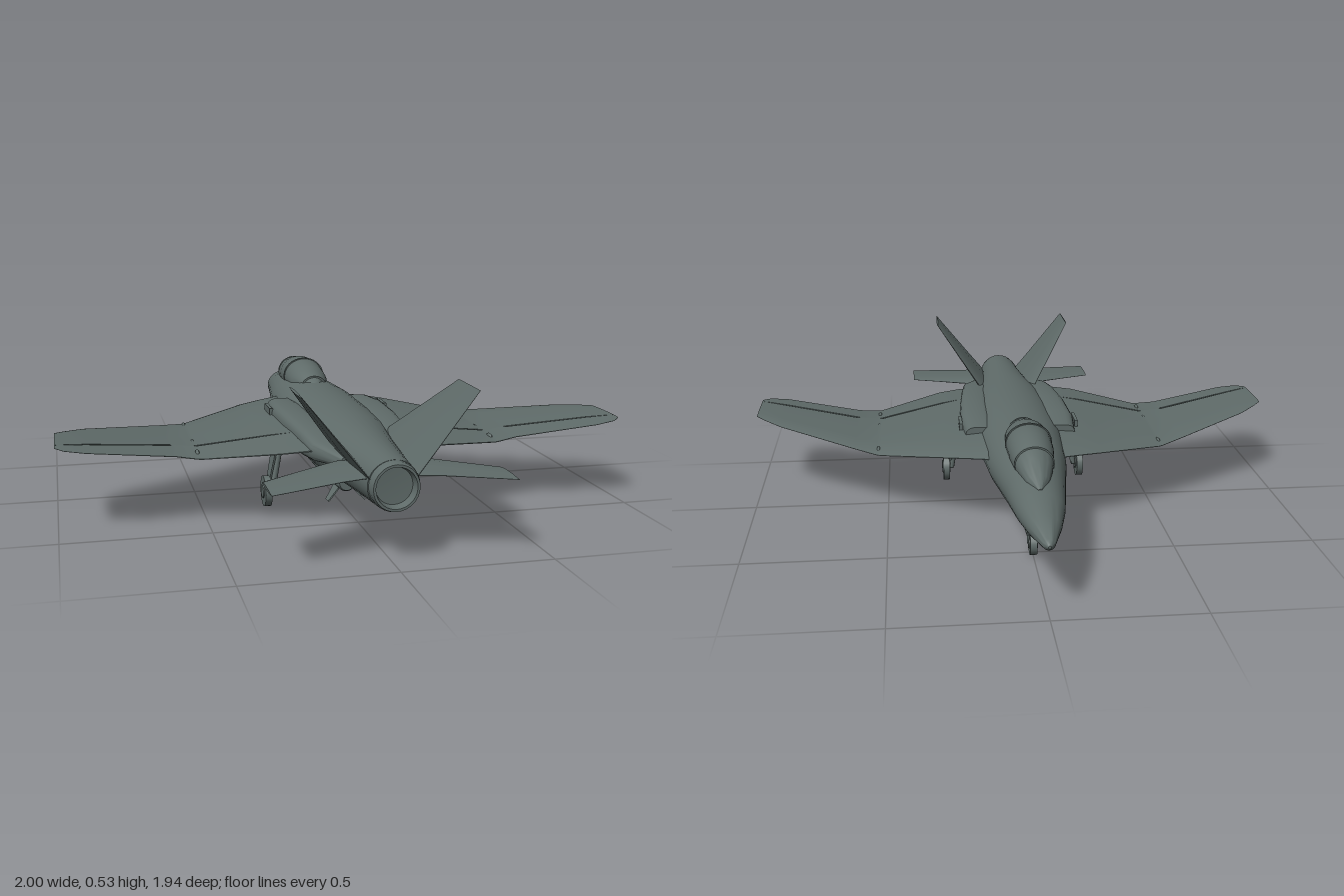
import * as THREE from 'three';
import { toCreasedNormals } from 'three/addons/utils/BufferGeometryUtils.js';

const grey = new THREE.MeshStandardMaterial({ color: 0x5f6b69 });
grey.name = 'slate grey';

function add(parent, name, geometry, x = 0, y = 0, z = 0) {
  const mesh = new THREE.Mesh(geometry, grey);
  mesh.name = name;
  mesh.position.set(x, y, z);
  parent.add(mesh);
  return mesh;
}

// Skin a list of closed rings and cap both ends
function loft(rings, crease = 0.6) {
  const n = rings[0].length, pos = rings.flat(2), index = [];
  for (let i = 0; i < rings.length - 1; i++) {
    for (let j = 0; j < n; j++) {
      const a = i * n + j, b = i * n + (j + 1) % n;
      index.push(a, b, a + n, b, b + n, a + n);
    }
  }
  [0, rings.length - 1].forEach((r, end) => {
    const c = pos.length / 3;
    for (let k = 0; k < 3; k++) pos.push(rings[r].reduce((s, p) => s + p[k], 0) / n);
    for (let j = 0; j < n; j++) {
      const a = r * n + j, b = r * n + (j + 1) % n;
      if (end) index.push(c, a, b); else index.push(c, b, a);
    }
  });
  const g = new THREE.BufferGeometry();
  g.setAttribute('position', new THREE.Float32BufferAttribute(pos, 3));
  g.setIndex(index);
  return toCreasedNormals(g, crease);
}

// Rounded cross-section; power below 1 makes it boxier
function oval(x, z, halfWidth, bottom, top, power = 1, n = 32) {
  const bend = v => Math.sign(v) * Math.abs(v) ** power;
  return Array.from({ length: n }, (_, i) => {
    const a = i / n * Math.PI * 2;
    return [x + halfWidth * bend(Math.cos(a)), (top + bottom) / 2 + (top - bottom) / 2 * bend(Math.sin(a)), z];
  });
}

// Thin lifting-surface section running from z0 to z1
const FULL = [0.05, 0.6, 1, 0.8, 0.08], FRONT = [0.05, 0.6, 0.9, 1, 0.85], REAR = [0.85, 0.8, 0.6, 0.4, 0.08];
function foil(x, y, z0, z1, t, profile = FULL, nx = 0, ny = 1) {
  const f = [0, 0.08, 0.3, 0.65, 1];
  const edge = s => f.map((v, i) => [x + s * nx * t * profile[i], y + s * ny * t * profile[i], z0 + (z1 - z0) * v]);
  return [...edge(1), ...edge(-1).reverse()];
}

// Round bar between two points
function bar(parent, name, from, to, r) {
  const a = new THREE.Vector3(...from), b = new THREE.Vector3(...to), d = b.clone().sub(a);
  const mesh = add(parent, name, new THREE.CylinderGeometry(r, r, d.length(), 12), ...a.clone().add(b).multiplyScalar(0.5));
  mesh.quaternion.setFromUnitVectors(new THREE.Vector3(0, 1, 0), d.normalize());
}

// Lathe profile of [radius, z] laid along z
function turned(points) {
  const g = new THREE.LatheGeometry(points.map(p => new THREE.Vector2(...p)), 28).rotateX(Math.PI / 2);
  return toCreasedNormals(g, 0.6);
}

function wheel(parent, name, x, y, z, r, w) {
  add(parent, name, new THREE.CylinderGeometry(r, r, w, 24).rotateZ(Math.PI / 2), x, y, z);
  add(parent, name + 'Hub', new THREE.CylinderGeometry(r * 0.45, r * 0.45, w + 0.008, 16).rotateZ(Math.PI / 2), x, y, z);
}

function buildSide() {
  const side = new THREE.Group();

  // Gull wing: x, leading z, slot z, trailing z, height, half thickness, half slot gap
  const stations = [
    [0.08, -0.345, 0.375, 0.57, 0.285, 0.026, 0],
    [0.2, -0.295, 0.362, 0.565, 0.277, 0.023, 0],
    [0.28, -0.26, 0.345, 0.55, 0.27, 0.02, 0.004],
    [0.52, -0.12, 0.286, 0.43, 0.237, 0.015, 0.005],
    [0.535, -0.112, 0.285, 0.425, 0.237, 0.014, 0],
    [0.605, -0.072, 0.285, 0.41, 0.246, 0.012, 0],
    [0.615, -0.066, 0.286, 0.41, 0.247, 0.012, 0.005],
    [0.9, 0.1, 0.36, 0.46, 0.287, 0.008, 0.004],
    [0.97, 0.165, 0.38, 0.45, 0.296, 0.006, 0.002],
    [1, 0.2, 0.388, 0.42, 0.3, 0.004, 0],
  ];
  add(side, 'wing', loft(stations.map(([x, l, s, , y, t, g]) => foil(x, y, l, s - g, t, FRONT))));
  add(side, 'wingFlaps', loft(stations.map(([x, , s, e, y, t, g]) => foil(x, y, s + g, e, t, REAR))));

  // Fold hinges
  for (const z of [-0.065, 0.21, 0.355]) {
    add(side, 'wingHinge', new THREE.SphereGeometry(1, 10, 8).scale(0.008, 0.016, 0.026), 0.528, 0.237, z);
  }

  // Air intake and the duct fairing behind it
  add(side, 'intakeDuct', loft([
    [-0.09, 0.15, 0.055, 0.235, 0.325], [0.05, 0.155, 0.062, 0.23, 0.335], [0.25, 0.15, 0.06, 0.23, 0.335],
    [0.45, 0.135, 0.058, 0.23, 0.325], [0.56, 0.12, 0.06, 0.24, 0.31], [0.7, 0.07, 0.04, 0.25, 0.29],
  ].map(([z, x, w, b, t]) => oval(x, z, w, b, t, 0.6, 24))));
  add(side, 'intakeLip', new THREE.BoxGeometry(0.012, 0.05, 0.1), 0.218, 0.295, 0.02);

  // Canted fin
  add(side, 'fin', loft([
    foil(0.07, 0.265, 0.4, 0.915, 0.014, FULL, -0.78, 0.63),
    foil(0.135, 0.345, 0.49, 0.908, 0.011, FULL, -0.78, 0.63),
    foil(0.278, 0.525, 0.7, 0.895, 0.004, FULL, -0.78, 0.63),
  ]));

  // Tailplane
  add(side, 'tailplane', loft([
    foil(0.05, 0.27, 0.63, 0.89, 0.013), foil(0.16, 0.267, 0.69, 0.91, 0.011), foil(0.387, 0.255, 0.81, 0.965, 0.005),
  ]));

  // Main landing gear
  const gear = new THREE.Group();
  gear.name = 'mainGear';
  side.add(gear);
  bar(gear, 'mainStrut', [0.212, 0.255, 0.235], [0.248, 0.055, 0.235], 0.011);
  bar(gear, 'mainBrace', [0.23, 0.24, 0.2], [0.252, 0.085, 0.23], 0.007);
  bar(gear, 'mainAxle', [0.24, 0.055, 0.235], [0.28, 0.055, 0.235], 0.009);
  const y0 = 0.085, y1 = 0.235;
  add(gear, 'mainDoor', loft([
    [[0.258, y0, 0.202], [0.264, y0, 0.202], [0.264, y0, 0.25], [0.258, y0, 0.25]].reverse(),
    [[0.228, y1, 0.178], [0.234, y1, 0.178], [0.234, y1, 0.265], [0.228, y1, 0.265]].reverse(),
  ], 0.3));
  wheel(gear, 'mainWheel', 0.269, 0.056, 0.235, 0.055, 0.024);
  return side;
}

export function createModel() {
  const model = new THREE.Group();
  model.name = 'jetAircraft';

  // Fuselage: z, half width, bottom, top
  add(model, 'fuselage', loft([
    [-0.977, 0.005, 0.23, 0.24], [-0.955, 0.02, 0.216, 0.254], [-0.85, 0.054, 0.2, 0.286],
    [-0.74, 0.08, 0.188, 0.315], [-0.6, 0.1, 0.175, 0.343], [-0.35, 0.137, 0.155, 0.362],
    [-0.1, 0.157, 0.144, 0.37], [0.2, 0.16, 0.14, 0.364], [0.4, 0.15, 0.141, 0.357],
    [0.6, 0.115, 0.15, 0.346], [0.8, 0.09, 0.161, 0.335], [0.91, 0.083, 0.168, 0.328],
  ].map(([z, w, b, t]) => oval(0, z, w, b, t))));
  add(model, 'exhaustNozzle', turned([
    [0, 0.88], [0.08, 0.88], [0.079, 0.93], [0.074, 0.947], [0.066, 0.947], [0.06, 0.915], [0, 0.912],
  ]), 0, 0.248, 0);

  // Cockpit canopy and its frames
  const canopy = [
    [-0.72, 0.008, 0.3, 0.322], [-0.66, 0.038, 0.29, 0.352], [-0.6, 0.055, 0.285, 0.385], [-0.54, 0.068, 0.28, 0.407],
    [-0.46, 0.077, 0.28, 0.422], [-0.37, 0.08, 0.28, 0.426], [-0.27, 0.074, 0.28, 0.411],
    [-0.2, 0.058, 0.29, 0.391], [-0.13, 0.02, 0.3, 0.366],
  ];
  add(model, 'canopy', loft(canopy.map(([z, w, b, t]) => oval(0, z, w, b, t))));
  for (const [z, w, t] of [[-0.55, 0.068, 0.407], [-0.37, 0.082, 0.429], [-0.18, 0.054, 0.388]]) {
    add(model, 'canopyFrame', loft([oval(0, z - 0.005, w, 0.285, t), oval(0, z + 0.005, w, 0.285, t)]));
  }

  // Centreline tank with pylon and crossed fins
  add(model, 'dropTank', turned([
    [0, -0.49], [0.016, -0.483], [0.03, -0.46], [0.041, -0.41], [0.045, -0.34], [0.045, 0.11],
    [0.041, 0.12], [0.041, 0.19], [0.038, 0.2], [0.034, 0.34], [0.028, 0.352], [0, 0.352],
  ]), 0, 0.1, 0);
  add(model, 'tankPylon', new THREE.BoxGeometry(0.03, 0.05, 0.45), 0, 0.145, -0.02);
  for (let i = 0; i < 4; i++) {
    const a = Math.PI / 4 + i * Math.PI / 2;
    const shape = new THREE.Shape([[0.025, 0.25], [0.095, 0.31], [0.095, 0.345], [0.025, 0.325]].map(p => new THREE.Vector2(...p)));
    const g = new THREE.ExtrudeGeometry(shape, { depth: 0.005, bevelEnabled: false }).translate(0, 0, -0.0025).rotateX(Math.PI / 2);
    add(model, 'tankFin', g, 0, 0.1, 0).rotation.z = a;
  }

  // Nose landing gear
  const nose = new THREE.Group();
  nose.name = 'noseGear';
  model.add(nose);
  bar(nose, 'noseStrut', [0, 0.19, -0.535], [0, 0.05, -0.515], 0.011);
  for (const s of [-1, 1]) {
    bar(nose, 'noseFork', [s * 0.016, 0.1, -0.522], [s * 0.016, 0.045, -0.515], 0.005);
    const door = add(nose, 'noseDoor', new THREE.BoxGeometry(0.005, 0.09, 0.075), s * 0.024, 0.135, -0.53);
    door.rotation.x = 0.12;
  }
  wheel(nose, 'noseWheel', 0, 0.043, -0.515, 0.042, 0.024);

  // Tail hook
  bar(model, 'tailHook', [0, 0.168, 0.72], [0, 0.163, 0.89], 0.007);

  // Paired parts
  for (const s of [1, -1]) {
    const side = buildSide();
    side.name = s > 0 ? 'leftSide' : 'rightSide';
    side.scale.x = s;
    model.add(side);
  }
  return model;
}
